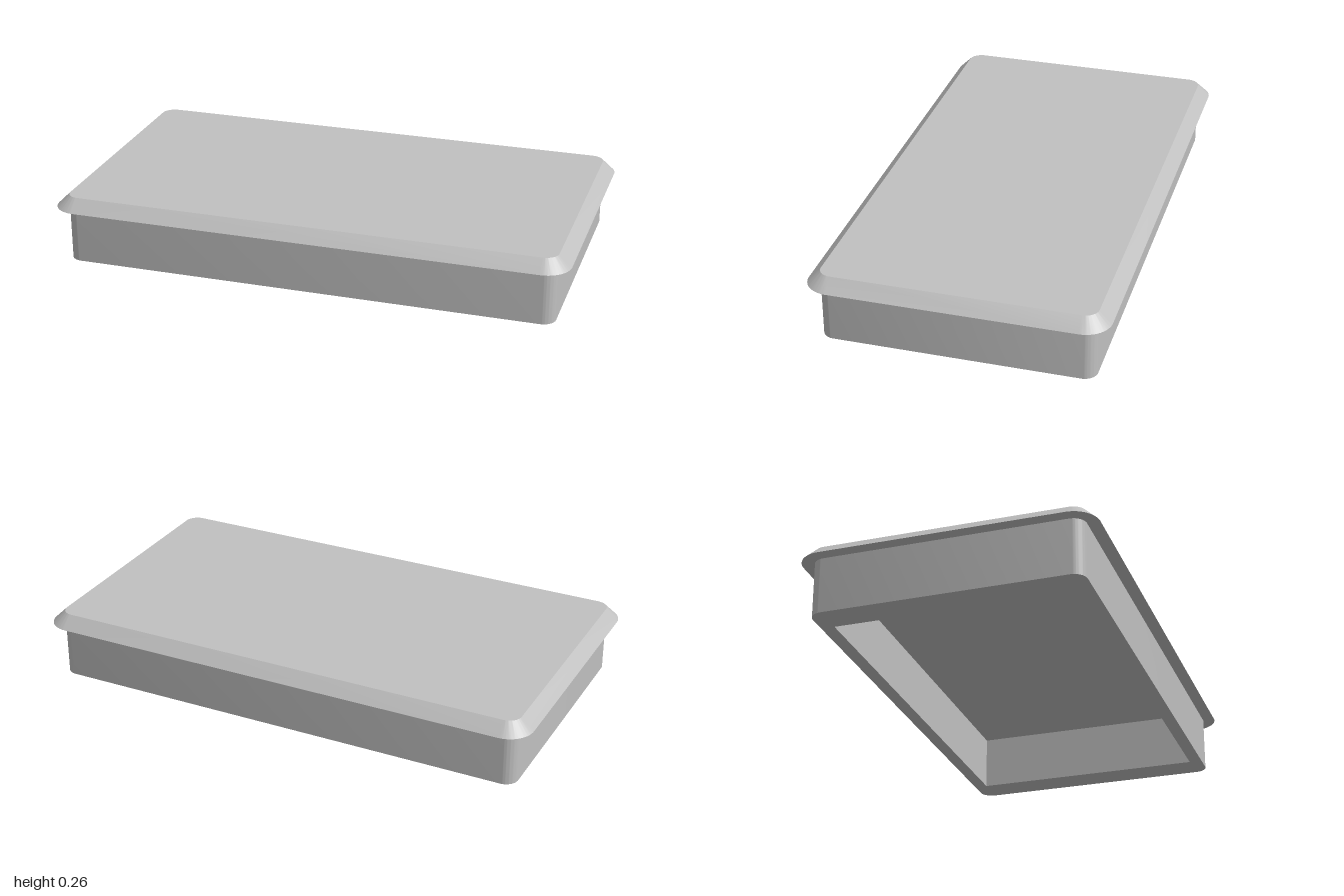
import * as THREE from 'three';
import { toCreasedNormals } from 'three/addons/utils/BufferGeometryUtils.js';

// Corner arc centres shared by the skirt and the lid
const CORE_X = 0.902, CORE_Z = 0.46;
const SKIRT_R = 0.05, LID_R = 0.098;
const SKIRT_H = 0.217, LID_H = 0.047;

// Rounded rectangle around the shared arc centres
function roundedOutline(r) {
  const s = new THREE.Shape();
  s.absarc(CORE_X, CORE_Z, r, 0, Math.PI / 2);
  s.absarc(-CORE_X, CORE_Z, r, Math.PI / 2, Math.PI);
  s.absarc(-CORE_X, -CORE_Z, r, Math.PI, Math.PI * 1.5);
  s.absarc(CORE_X, -CORE_Z, r, Math.PI * 1.5, Math.PI * 2);
  s.closePath();
  return s;
}

// Extrude upward from y = 0
function extrudeUp(shape, depth) {
  const geo = new THREE.ExtrudeGeometry(shape, { depth, bevelEnabled: false, curveSegments: 12 });
  return geo.rotateX(-Math.PI / 2);
}

export function createModel() {
  const group = new THREE.Group();
  group.name = 'lid';
  const grey = new THREE.MeshStandardMaterial({ color: 0xc0c0c0 });
  grey.name = 'grey';

  // Skirt with a square-cornered opening, thicker at the ends
  const skirtShape = roundedOutline(SKIRT_R);
  const hx = 0.83, hz = 0.459;
  skirtShape.holes.push(new THREE.Path([
    new THREE.Vector2(-hx, -hz), new THREE.Vector2(-hx, hz),
    new THREE.Vector2(hx, hz), new THREE.Vector2(hx, -hz),
  ]));
  const skirt = new THREE.Mesh(toCreasedNormals(extrudeUp(skirtShape, SKIRT_H), 0.4), grey);
  skirt.name = 'skirt';
  group.add(skirt);

  // Top plate, its upper outline drawn in toward the arc centres to slope the edge
  const plateGeo = extrudeUp(roundedOutline(LID_R), LID_H);
  const pos = plateGeo.attributes.position;
  const k = SKIRT_R / LID_R;
  for (let i = 0; i < pos.count; i++) {
    if (pos.getY(i) < LID_H / 2) continue;
    const x = pos.getX(i), z = pos.getZ(i);
    const cx = THREE.MathUtils.clamp(x, -CORE_X, CORE_X);
    const cz = THREE.MathUtils.clamp(z, -CORE_Z, CORE_Z);
    pos.setX(i, cx + (x - cx) * k);
    pos.setZ(i, cz + (z - cz) * k);
  }
  const plate = new THREE.Mesh(toCreasedNormals(plateGeo, 0.4), grey);
  plate.name = 'topPlate';
  plate.position.y = SKIRT_H;
  group.add(plate);

  return group;
}
